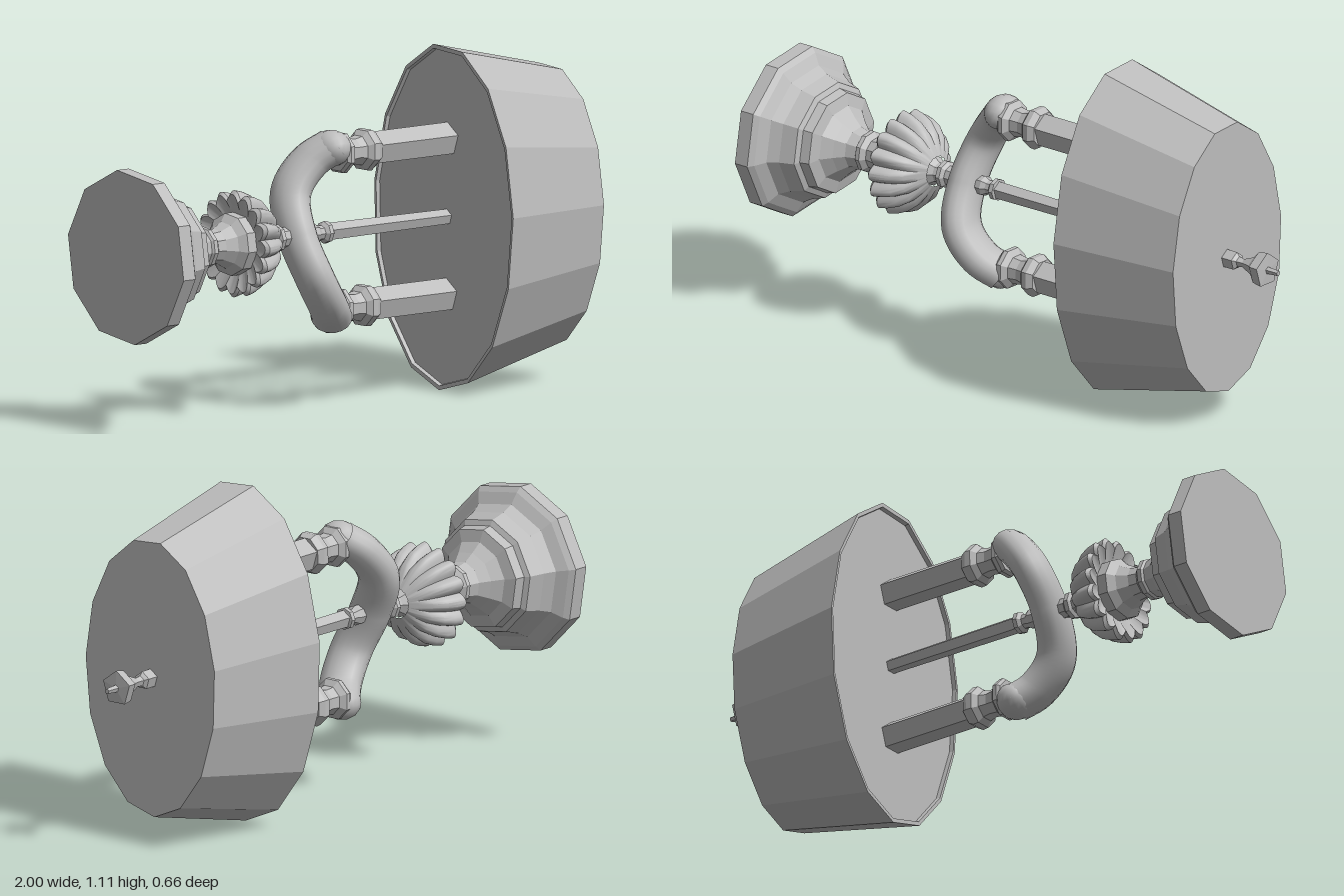
import * as THREE from 'three';
import { toCreasedNormals } from 'three/addons/utils/BufferGeometryUtils.js';

const metal = new THREE.MeshStandardMaterial({ color: 0xbdbdbd });
metal.name = 'plain grey';

// Upright lamp along local y; profiles are [radius, height] from bottom to top
function turned(name, profile, sides, phase = 0) {
  const pts = profile.map(([r, y]) => new THREE.Vector2(r, y));
  const geo = new THREE.LatheGeometry(pts, sides, phase).toNonIndexed();
  geo.computeVertexNormals(); // faceted
  const mesh = new THREE.Mesh(geo, metal);
  mesh.name = name;
  return mesh;
}

// Bowl with rounded ribs around an overhanging rim
function flutedBowl() {
  const profile = [[0.06, -0.52], [0.12, -0.535], [0.16, -0.55], [0.172, -0.54], [0.165, -0.51],
    [0.15, -0.475], [0.12, -0.44], [0.08, -0.415], [0.05, -0.4]];
  const geo = new THREE.LatheGeometry(profile.map(([r, y]) => new THREE.Vector2(r, y)), 128);
  const p = geo.attributes.position;
  for (let i = 0; i < p.count; i++) {
    const a = Math.atan2(p.getX(i), p.getZ(i));
    const r = Math.hypot(p.getX(i), p.getZ(i));
    const k = 1 - Math.min(1, r / 0.15) * 0.15 * (1 - Math.abs(Math.cos(8 * a)));
    p.setX(i, p.getX(i) * k);
    p.setZ(i, p.getZ(i) * k);
  }
  const mesh = new THREE.Mesh(toCreasedNormals(geo, 0.6), metal);
  mesh.name = 'flutedBowl';
  return mesh;
}

// U-shaped fork whose two arms sway to opposite sides
function forkArms() {
  const group = new THREE.Group();
  group.name = 'forkArms';
  const half = [[0.275, -0.12, 0], [0.225, -0.18, 0.035], [0.13, -0.248, 0.045]];
  const path = [
    ...half.map(([x, y, z]) => new THREE.Vector3(-x, y, -z)),
    new THREE.Vector3(0, -0.272, 0),
    ...half.slice().reverse().map(([x, y, z]) => new THREE.Vector3(x, y, z)),
  ];
  const tube = new THREE.Mesh(
    new THREE.TubeGeometry(new THREE.CatmullRomCurve3(path), 40, 0.057, 16), metal);
  tube.name = 'fork';
  tube.scale.z = 1.3;
  group.add(tube);
  for (const s of [-1, 1]) {
    const tip = new THREE.Mesh(new THREE.SphereGeometry(0.058, 16, 12), metal);
    tip.name = 'forkTip';
    tip.position.set(s * 0.268, -0.128, 0);
    tip.scale.z = 1.2;
    group.add(tip);
  }
  return group;
}

export function createModel() {
  const model = new THREE.Group();
  model.name = 'tableLamp';
  const lamp = new THREE.Group();
  lamp.name = 'lamp';

  // Stepped foot and neck
  lamp.add(turned('foot', [[0, -1], [0.279, -1], [0.279, -0.95], [0.262, -0.935], [0.225, -0.915],
    [0.205, -0.88], [0.19, -0.83], [0.172, -0.822], [0.165, -0.79], [0.125, -0.78],
    [0.095, -0.75], [0.07, -0.72], [0.06, -0.685], [0, -0.685]], 10, 0.15));
  lamp.add(turned('neck', [[0, -0.69], [0.055, -0.69], [0.068, -0.68], [0.068, -0.665], [0.052, -0.65],
    [0.056, -0.62], [0.075, -0.585], [0.1, -0.565], [0.1, -0.53], [0, -0.53]], 10, 0.15));
  lamp.add(flutedBowl());
  lamp.add(turned('collar', [[0.05, -0.41], [0.034, -0.39], [0.032, -0.375], [0.045, -0.37],
    [0.045, -0.355], [0.033, -0.345], [0.033, -0.28]], 8));

  lamp.add(forkArms());

  // Candle holders and sleeves at both arm ends
  for (const s of [-1, 1]) {
    const holder = turned('candleHolder', [[0, -0.11], [0.06, -0.11], [0.068, -0.1], [0.068, -0.085],
      [0.048, -0.07], [0.044, -0.04], [0.05, -0.015], [0.068, 0], [0.07, 0.02], [0.058, 0.04],
      [0, 0.04]], 8, Math.PI / 8);
    const candle = turned('candle', [[0.054, 0.03], [0.054, 0.37]], 5, -Math.PI / 2);
    for (const part of [holder, candle]) {
      part.position.x = s * 0.25;
      lamp.add(part);
    }
  }

  // Central rod with a small flared socket
  lamp.add(turned('rodSocket', [[0.03, -0.23], [0.033, -0.2], [0.024, -0.185], [0.024, -0.17],
    [0.036, -0.16], [0.036, -0.145], [0, -0.14]], 8));
  lamp.add(turned('centralRod', [[0.029, -0.15], [0.025, 0.37]], 5, -Math.PI / 2));

  // Oval tapered shade with a shallow recessed underside
  const shade = turned('shade', [[0, 0.364], [0.97, 0.364], [0.975, 0.35], [1, 0.35],
    [0.817, 0.79], [0, 0.79]], 15, Math.PI / 2 + 0.042);
  const geo = shade.geometry.scale(0.557, 1, 0.333);
  geo.computeVertexNormals();
  lamp.add(shade);

  // Finial
  lamp.add(turned('finial', [[0.03, 0.785], [0.03, 0.83], [0.018, 0.84], [0.014, 0.86], [0.03, 0.9],
    [0.052, 0.92], [0.058, 0.955], [0.012, 0.957], [0.009, 1], [0, 1]], 5, -Math.PI / 2));

  // Lay the lamp on its side, tipped very slightly
  lamp.rotation.z = -Math.PI / 2 - 0.011;
  lamp.position.y = 0.562;
  model.add(lamp);
  return model;
}
